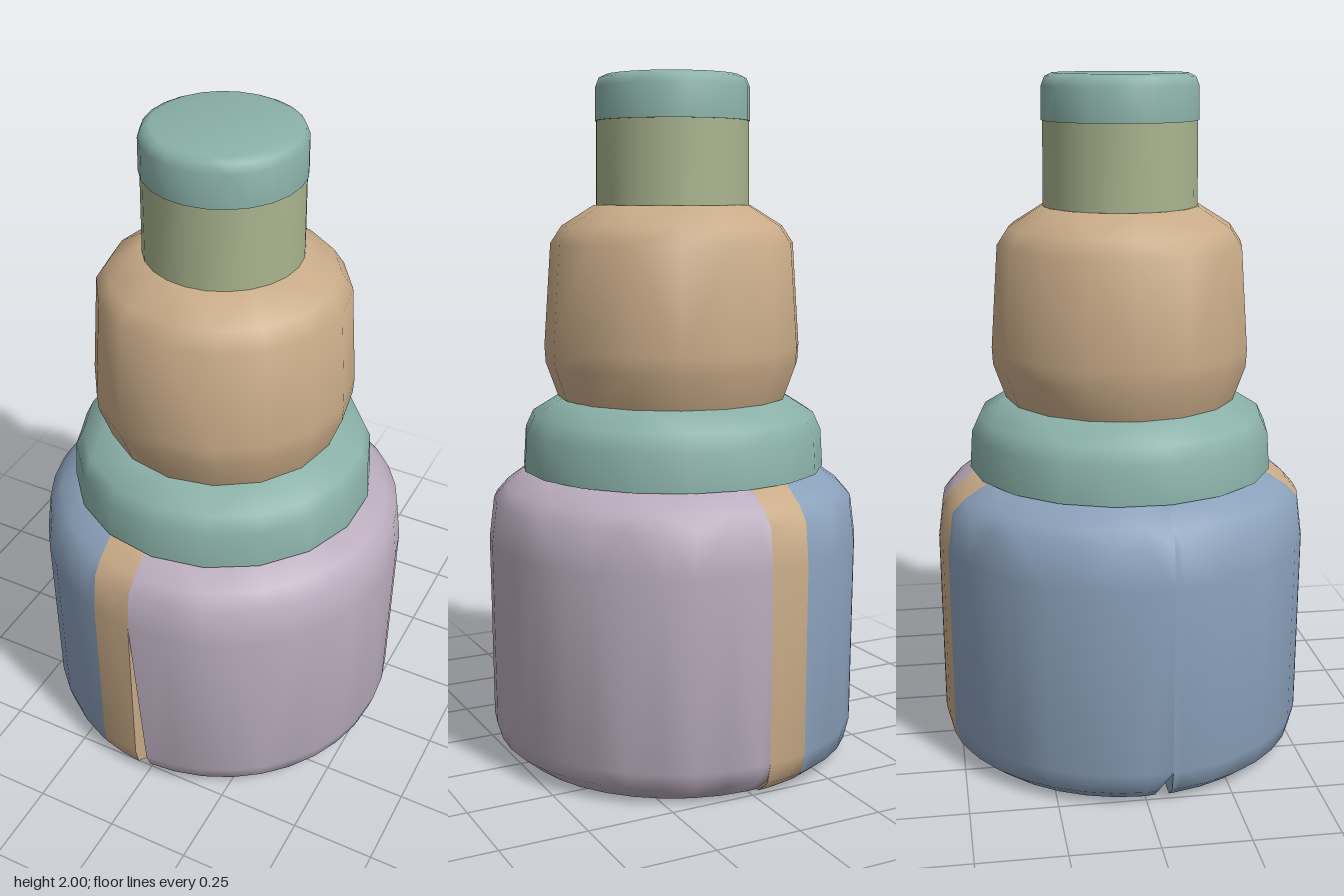
import * as THREE from 'three';
import { ConvexGeometry } from 'three/addons/geometries/ConvexGeometry.js';
import { toCreasedNormals } from 'three/addons/utils/BufferGeometryUtils.js';

const material = (name, color) => {
  const m = new THREE.MeshStandardMaterial({ color });
  m.name = name;
  return m;
};

// Rings of a round profile [radius, height], cut to a box in plan (x0..x1, z0..z1)
function ringPoints(profile, sides, { x0 = -9, x1 = 9, z0 = -9, z1 = 9 } = {}) {
  const points = [];
  for (const [r, y] of profile) {
    const plan = [];
    for (let i = 0; i < sides; i++) {
      const a = (i / sides) * Math.PI * 2;
      plan.push([r * Math.sin(a), r * Math.cos(a)]);
    }
    for (const c of [x0, x1, z0, z1]) {
      if (Math.abs(c) >= r) continue;
      const h = Math.sqrt(r * r - c * c);
      for (const s of [-h, h]) plan.push(c === x0 || c === x1 ? [c, s] : [s, c]);
    }
    for (const x of [x0, x1]) for (const z of [z0, z1]) {
      if (Math.hypot(x, z) < r) plan.push([x, z]);
    }
    for (const [x, z] of plan) {
      if (x >= x0 - 1e-6 && x <= x1 + 1e-6 && z >= z0 - 1e-6 && z <= z1 + 1e-6) {
        points.push(new THREE.Vector3(x, y, z));
      }
    }
  }
  return points;
}

export function createModel() {
  const group = new THREE.Group();
  const teal = material('teal', 0x8ab1a8);
  const tan = material('tan', 0xc9ab88);
  const mauve = material('mauve', 0xbaacbd);
  const blue = material('blue', 0x8ba1bb);
  const green = material('green', 0xa9b48e);

  const add = (name, points, mat, crease = 0.9) => {
    const mesh = new THREE.Mesh(toCreasedNormals(new ConvexGeometry(points), crease), mat);
    mesh.name = name;
    group.add(mesh);
  };

  // Lower body, cut into upright slices
  const body = [[0.48, 0], [0.53, 0.04], [0.545, 0.1], [0.55, 0.65], [0.535, 0.77], [0.5, 0.81], [0.43, 0.86]];
  const mauveBody = [[0.47, 0], [0.53, 0.05], [0.545, 0.1], ...body.slice(3)];

  // The large slice's front lower corner leans away from the band
  const large = ringPoints(mauveBody, 36, { x0: -0.03 });
  for (const p of large) if (p.z > 0 && p.y < 0.2) p.x = Math.max(p.x, 0.015 - p.y * 0.06);
  add('largeBodySlice', large, mauve);
  add('bodyBand', ringPoints(body, 36, { x0: -0.155, x1: -0.03 }), tan, 0.7);
  add('frontSideSlice', ringPoints(body, 36, { x1: -0.155, z0: 0.07 }), blue);

  // The rear slice lifts slightly at its seam
  const rear = ringPoints(body, 36, { x1: -0.155, z1: 0.07 });
  for (const p of rear) if (p.y < 0.05 && p.z > 0.06) p.z = 0.03;
  add('rearSideSlice', rear, blue);

  // Stacked round parts above
  add('collar', ringPoints([[0.45, 0.86], [0.443, 0.97], [0.42, 1.02], [0.34, 1.07]], 18), teal);
  add('shoulder', ringPoints([[0.34, 1.07], [0.376, 1.17], [0.379, 1.22], [0.358, 1.52],
    [0.325, 1.57], [0.23, 1.63]], 16), tan);
  add('neck', ringPoints([[0.224, 1.63], [0.222, 1.87]], 24), green);
  add('cap', ringPoints([[0.226, 1.87], [0.225, 1.965], [0.215, 1.99], [0.195, 2]], 24), teal);

  return group;
}
